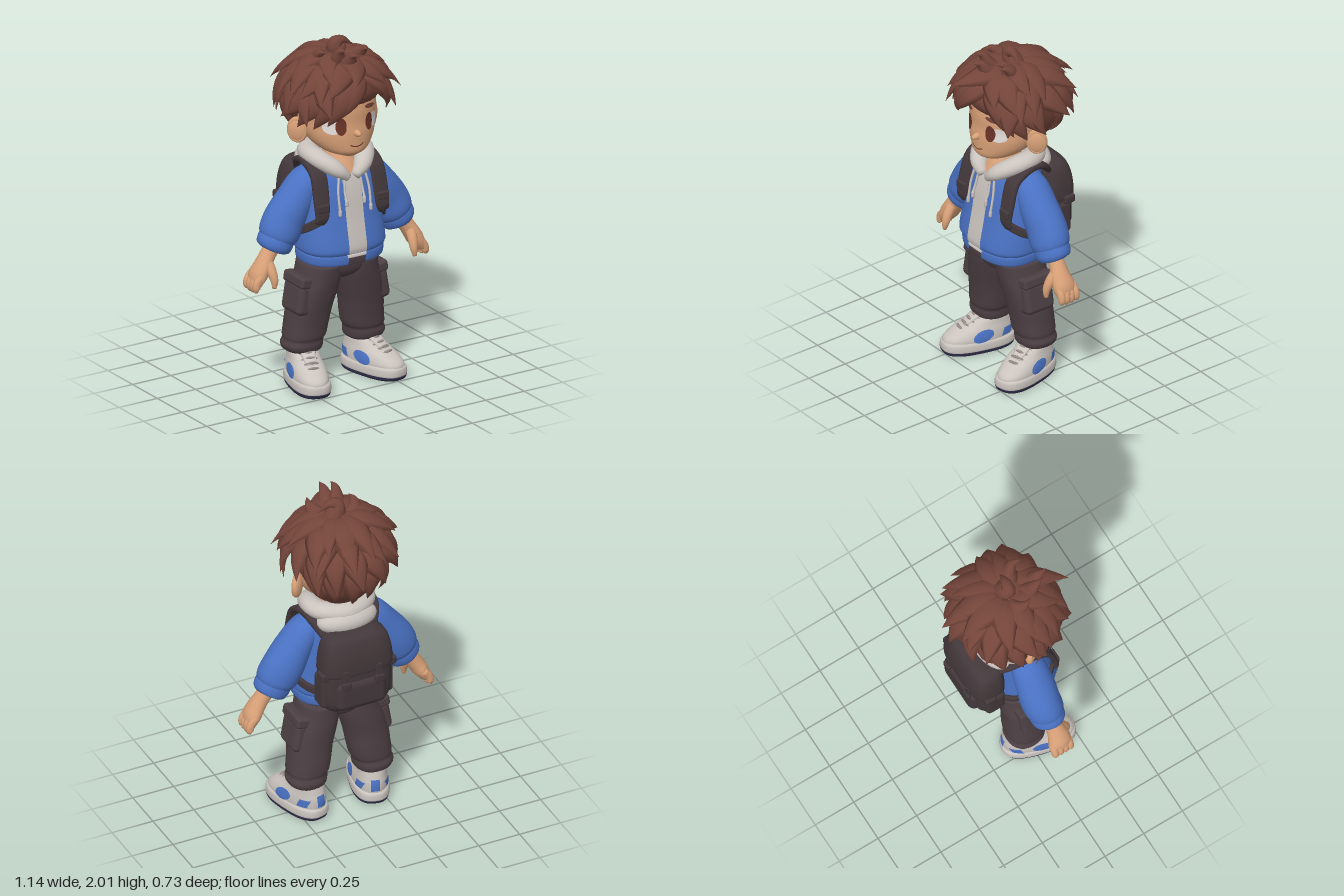
import * as THREE from 'three';
import { RoundedBoxGeometry } from 'three/addons/geometries/RoundedBoxGeometry.js';

const V = (x, y, z) => new THREE.Vector3(x, y, z);
const mat = (name, color) => Object.assign(new THREE.MeshStandardMaterial({ color }), { name });
const hair = mat('hair brown', 0x74453a), skin = mat('skin', 0xd9a178), blue = mat('jacket blue', 0x4a72c4),
  cloth = mat('light grey', 0xcac3be), dark = mat('trouser brown', 0x4d4044), pack = mat('pack charcoal', 0x43383b),
  navy = mat('sole navy', 0x2f2d48), iris = mat('eye brown', 0x6a3327), white = mat('eye white', 0xe2dedb),
  lace = mat('lace grey', 0x968d8a);

const mesh = (name, geo, m) => Object.assign(new THREE.Mesh(geo, m), { name });
const flip = (rows, s) => rows.map(r => [r[0] * s, ...r.slice(1)]);

// Smooth skin over rows [x, y, z, halfA, halfB]; flat keeps the rings horizontal.
function loft(rows, { n = 28, p = 2, steps = 5, flat = true, ref = V(0, 0, 1) } = {}) {
  const path = new THREE.CatmullRomCurve3(rows.map(r => V(r[0], r[1], r[2])), false, 'catmullrom');
  const size = new THREE.CatmullRomCurve3(rows.map(r => V(r[3], r[4], 0)), false, 'catmullrom');
  const count = (rows.length - 1) * steps, pos = [], idx = [];
  const bend = v => Math.sign(v) * Math.abs(v) ** (2 / p);
  for (let i = -1; i <= count + 1; i++) {
    const t = Math.min(Math.max(i / count, 0), 1), c = path.getPoint(t), r = size.getPoint(t);
    const T = flat ? V(0, 1, 0) : path.getTangent(t);
    const B = ref.clone().addScaledVector(T, -ref.dot(T)).normalize(), A = T.clone().cross(B);
    const k = i < 0 || i > count ? 0 : 1;
    for (let j = 0; j < n; j++) {
      const a = j / n * Math.PI * 2;
      const q = c.clone().addScaledVector(A, k * Math.max(r.x, 0.0005) * bend(Math.cos(a)))
        .addScaledVector(B, k * Math.max(r.y, 0.0005) * bend(Math.sin(a)));
      pos.push(q.x, q.y, q.z);
    }
  }
  for (let i = 0; i < count + 2; i++) for (let j = 0; j < n; j++) {
    const a = i * n + j, b = i * n + (j + 1) % n;
    idx.push(a, a + n, b, b, a + n, b + n);
  }
  const g = new THREE.BufferGeometry();
  g.setAttribute('position', new THREE.Float32BufferAttribute(pos, 3));
  g.setIndex(idx);
  g.computeVertexNormals();
  return g;
}
const limb = (rows, o = {}) => loft(rows, { flat: false, n: 16, ...o });

// Lay a flat shape onto a target surface, seen from the angle a about y.
function drape(geo, target, off = 0.004, a = 0) {
  const nrm = V(Math.sin(a), 0, Math.cos(a)), right = V(Math.cos(a), 0, -Math.sin(a)), P = geo.attributes.position;
  for (let i = 0; i < P.count; i++) {
    const q = right.clone().multiplyScalar(P.getX(i)).setY(P.getY(i));
    const hit = new THREE.Raycaster(q.clone().addScaledVector(nrm, 2), nrm.clone().negate()).intersectObject(target)[0];
    q.addScaledVector(nrm, (hit ? hit.point.dot(nrm) : 0) + off);
    P.setXYZ(i, q.x, q.y, q.z);
  }
  geo.computeVertexNormals();
  return geo;
}
const disc = (x, y, rx, ry, rot = 0) => new THREE.RingGeometry(0.01, 1, 24, 4).scale(rx, ry, 1).rotateZ(rot).translate(x, y, 0);
const sheet = (x0, x1, y0, y1, lean = 0) => {
  const g = new THREE.PlaneGeometry(x1 - x0, y1 - y0, 8, 30), P = g.attributes.position;
  for (let i = 0; i < P.count; i++) P.setX(i, P.getX(i) + lean * P.getY(i));
  return g.translate((x0 + x1) / 2, (y0 + y1) / 2, 0);
};

export function createModel() {
  const model = new THREE.Group();
  const add = (name, geo, m, parent = model) => { const o = mesh(name, geo, m); parent.add(o); return o; };
  const box = (name, x, y, z, w, h, d, r, m, parent) => {
    const o = add(name, new RoundedBoxGeometry(w, h, d, 4, r), m, parent); o.position.set(x, y, z); return o;
  };
  const ball = (name, x, y, z, rx, ry, rz, m) => {
    const o = add(name, new THREE.SphereGeometry(1, 24, 16).scale(rx, ry, rz), m); o.position.set(x, y, z); return o;
  };

  // Head and face
  const head = add('head', loft([[0, 1.36, .12, .05, .06], [0, 1.39, .09, .125, .125], [0, 1.44, .05, .18, .17], [0, 1.5, .02, .21, .2],
    [0, 1.56, 0, .222, .213], [0, 1.64, -.01, .232, .222], [0, 1.74, -.02, .22, .21], [0, 1.84, -.03, .15, .15], [0, 1.88, -.03, .05, .05]], { n: 40 }), skin);
  ball('nose', 0, 1.505, .216, .019, .019, .04, skin);
  add('neck', loft([[0, 1.24, .04, .12, .12], [0, 1.3, .03, .1, .1], [0, 1.36, .02, .08, .08], [0, 1.43, .02, .08, .08]]), skin);
  add('mouth', drape(new THREE.RingGeometry(.066, .072, 20, 1, -Math.PI / 2 - .65, 1.3).translate(0, 1.497, 0), head), iris);
  for (const s of [1, -1]) {
    add('eyeWhite', drape(disc(s * .13, 1.55, .044, .042, -s * .2), head, .003), white);
    add('eyeIris', drape(disc(s * .09, 1.553, .029, .05), head, .006), iris);
    add('eyebrow', drape(disc(s * .1, 1.64, .042, .013, -s * .15), head, .006), hair);
    ball('ear', s * .243, 1.505, -.005, .06, .076, .028, skin).rotation.y = s * .8;
    const rim = add('earRim', new THREE.TorusGeometry(.047, .008, 8, 24).scale(1, 1.35, 1), skin);
    rim.position.set(s * .25, 1.505, .003); rim.rotation.y = s * .8;
  }

  // Hair: a cap under layers of pointed locks
  add('hairCap', loft([[0, 1.4, -.07, .1, .07], [0, 1.48, -.1, .17, .12], [0, 1.58, -.09, .235, .185], [0, 1.68, -.03, .262, .255],
    [0, 1.78, -.02, .25, .255], [0, 1.87, -.02, .18, .19], [0, 1.92, -.02, .07, .07]]), hair);
  let seed = 7;
  const rnd = () => (seed = (seed * 16807) % 2147483647) / 2147483647 - .5;
  const onHair = (az, el, r) => {
    const a = az * Math.PI / 180, e = el * Math.PI / 180;
    return V(.27 * r * Math.cos(e) * Math.sin(a), 1.68 + .245 * r * Math.sin(e), -.02 + .28 * r * Math.cos(e) * Math.cos(a));
  };
  // Blade from one place on the scalp to another: broad near the root, pointed and flared at the tip
  const lock = (az0, el0, az1, el1, w, flare = .12) => {
    const rows = [[0, .7], [.2, 1], [.4, .95], [.6, .72], [.8, .4], [1, 0]].map(([t, k]) => {
      const q = onHair(az0 + (az1 - az0) * t, el0 + (el1 - el0) * t, .91 + .13 * Math.sin(t * 2.4) + flare * t ** 2.6);
      return [q.x, q.y, q.z, w * k, w * .42 * k];
    });
    const ref = onHair((az0 + az1) / 2, (el0 + el1) / 2, 1).sub(V(0, 1.68, -.02)).normalize();
    add('hairLock', limb(rows, { n: 8, steps: 3, p: 1.5, ref }), hair);
  };
  // Each layer: locks, root and tip elevation, half width, least azimuth from the front, flare
  for (const [count, e0, e1, w, min, flare] of [[10, 80, 22, .076, 30, .24], [13, 60, 8, .078, 28, .32], [15, 36, -12, .074, 42, .3],
    [15, 12, -44, .064, 102, .18], [16, -10, -66, .053, 116, .04]])
    for (let i = 0; i < count; i++) {
      const az = (i + .5) / count * 360 - 180 + rnd() * 10;
      if (Math.abs(az) >= min) lock(az, e0 + rnd() * 8, az + 6 + rnd() * 30, e1 + rnd() * 14, w * (1 + rnd() * .25), flare + rnd() * .1);
    }
  // Fringe swept to both sides of the parting
  for (const [a0, e0, a1, e1, w, f] of [[6, 44, -24, -10, .07, .12], [-2, 42, -40, -22, .08, .14], [-14, 40, -56, -27, .08, .18], [-32, 34, -73, -24, .078, .26],
    [-50, 27, -92, -16, .07, .3], [20, 46, 42, -4, .06, .12], [24, 44, 56, -21, .075, .14], [38, 38, 70, -25, .08, .2], [56, 30, 88, -18, .072, .28]]) lock(a0, e0, a1, e1, w, f);
  // Upper sweep over the brow
  for (const [a0, e0, a1, e1, w, f] of [[12, 68, -13, 25, .085, .46], [-10, 62, -38, 13, .085, .3], [-40, 60, -66, 10, .08, .3],
    [20, 62, 36, 16, .075, .2], [35, 60, 60, 10, .085, .28]]) lock(a0, e0, a1, e1, w, f);
  add('hairTuft', limb([[.05, 1.86, -.02, .06, .06], [.015, 1.92, -.01, .058, .055], [.0, 1.965, .0, .042, .04], [.045, 1.978, .005, .022, .024], [.11, 1.935, .01, 0, 0]], { n: 10 }), hair);
  for (const [x, z, h] of [[-.05, .1, .03], [-.1, -.01, 0], [.1, .06, 0], [-.01, .15, .01]])
    add('hairTuftSmall', limb([[x * .6, 1.86, z * .6, .055, .045], [x, 1.9, z, .05, .04], [x * 1.2, 1.94 + h, z + .04, .026, .022], [x * 1.1, 1.955 + h, z + .09, 0, 0]], { n: 10 }), hair);

  // Jacket body with open front
  const jacket = add('jacketBody', loft([[0, .79, .04, .22, .17], [0, .805, .04, .25, .19], [0, .85, .04, .256, .194], [0, 1, .03, .245, .175],
    [0, 1.15, .02, .23, .16], [0, 1.25, .01, .205, .14], [0, 1.305, 0, .16, .1], [0, 1.335, 0, .08, .07]], { n: 48, p: 2.5 }), blue);
  const hem = add('jacketHem', loft([[0, .735, .04, .225, .168], [0, .745, .04, .242, .184], [0, .79, .04, .246, .187], [0, .805, .04, .235, .176]], { n: 48, p: 2.5 }), blue);
  add('shirtFront', drape(sheet(-.065, .055, .806, 1.25), jacket, .006), cloth);
  add('shirtHem', drape(sheet(-.065, .055, .785, .803), hem, .008), cloth);
  add('trouserFront', drape(sheet(-.06, .05, .742, .786), hem, .006), dark);
  for (const x of [-.07, .06]) add('jacketEdge', drape(sheet(x - .008, x + .008, .806, 1.25), jacket, .009), blue);

  // Hood and drawstrings
  const hoodSide = [[.022, 1.23, .165, .026, .024], [.085, 1.285, .14, .052, .045], [.15, 1.335, .05, .058, .05], [.135, 1.345, -.07, .06, .05]];
  add('hoodRim', limb([...hoodSide, [0, 1.335, -.135, .06, .06], ...flip(hoodSide, -1).reverse()], { n: 20, ref: V(0, 1, 0) }), cloth);
  ball('hoodBack', 0, 1.29, -.12, .18, .08, .1, cloth);

  for (const s of [1, -1]) {
    for (const [x0, x1, y] of [[.05, .058, 1.08], [.085, .1, 1.03]])
      add('drawstring', limb(flip([[x0, 1.25, .168, .007, .007], [x1, 1.16, .187, .007, .007], [x1, y + .04, .203, .007, .007], [x1, y + .03, .205, .01, .01], [x1, y, .207, .009, .009]], s), { n: 8 }), cloth);
    add('jacketPocket', drape(sheet(s * .145 - .055, s * .145 + .055, .83, .96, -s * .25), jacket, .008), blue);

    // Sleeve, cuff and hand
    add('sleeve', limb(flip([[.12, 1.25, 0, .045, .06], [.195, 1.2, 0, .085, .095], [.272, 1.09, 0, .106, .108], [.33, .995, -.005, .12, .11],
      [.368, .925, 0, .118, .108], [.385, .89, 0, .1, .095]], s), { n: 28 }), blue);
    add('cuff', limb(flip([[.375, .91, 0, .09, .085], [.383, .897, 0, .104, .098], [.41, .852, .005, .098, .093], [.418, .836, .005, .06, .06]], s), { n: 28 }), blue);
    add('hand', limb(flip([[.39, .89, .005, .05, .05], [.445, .82, .01, .045, .046], [.487, .755, .015, .046, .06], [.513, .71, .012, .045, .068], [.535, .665, .01, .03, .062]], s)), skin);
    for (let i = 0; i < 4; i++) {
      const z = -.04 + i * .032, tip = .622 + (i % 3 ? 0 : .014);
      add('finger', limb(flip([[.512, .72, z, .022, .021], [.543, .68, z, .024, .021], [.55, .645, z, .021, .02], [.542, tip, z, .011, .011]], s), { n: 10 }), skin);
    }
    add('thumb', limb(flip([[.465, .79, .03, .03, .03], [.46, .74, .068, .028, .028], [.455, .69, .09, .022, .022], [.458, .645, .095, .011, .011]], s), { n: 10 }), skin);

    // Backpack straps
    add('shoulderStrap', limb(flip([[.13, 1.23, -.15, .016, .042], [.165, 1.295, -.09, .018, .045], [.178, 1.312, .01, .018, .048], [.185, 1.26, .112, .018, .048],
      [.19, 1.14, .153, .016, .048], [.195, 1.04, .172, .015, .042], [.21, .995, .165, .012, .03]], s), { p: 4, ref: V(1, 0, 0) }), pack);
    add('lowerStrap', limb(flip([[.2, 1.01, .165, .012, .024], [.25, .96, .1, .012, .024], [.268, .92, .01, .012, .024], [.235, .885, -.09, .012, .024], [.17, .86, -.16, .012, .024]], s), { p: 4, ref: V(0, 1, 0) }), pack);
    box('strapBuckle', s * .195, 1.085, .178, .075, .045, .025, .008, pack);

    // Trouser leg and cargo pocket
    add('trouserLeg', loft(flip([[.198, .195, -.035, .08, .085], [.2, .212, -.03, .106, .105], [.202, .24, -.028, .115, .112], [.196, .27, -.025, .111, .108], [.19, .295, -.022, .119, .114],
      [.18, .36, -.018, .122, .117], [.168, .45, -.008, .125, .122], [.143, .56, .002, .127, .135], [.122, .64, .01, .12, .142], [.112, .72, .015, .112, .148]], s), { p: 2.3 }), dark);
    const pocket = new THREE.Group();
    pocket.name = 'cargoPocket';
    pocket.position.set(s * .24, .55, .005);
    pocket.rotation.z = s * .17;
    model.add(pocket);
    box('pocketBag', 0, -.025, 0, .1, .18, .19, .03, dark, pocket);
    box('pocketFlap', s * .004, .075, 0, .106, .065, .2, .018, dark, pocket);

    // Shoe
    const shoe = new THREE.Group();
    shoe.name = 'shoe';
    const upper = add('shoeUpper', loft([[0, .05, .055, .096, .202], [0, .09, .053, .1, .203], [0, .13, .028, .095, .177], [0, .165, -.002, .086, .138],
      [0, .2, -.025, .08, .105], [0, .225, -.038, .07, .085]], { n: 40, p: 2.3 }), cloth, shoe);
    add('outsole', loft([[0, 0, .055, .085, .18], [0, .008, .056, .102, .205], [0, .028, .057, .106, .213]], { n: 40, p: 2.6 }), navy, shoe);
    add('midsole', loft([[0, .022, .055, .1, .206], [0, .032, .055, .108, .214], [0, .066, .055, .106, .212], [0, .08, .055, .098, .2]], { n: 40, p: 2.6 }), cloth, shoe);
    for (const d of [1, -1]) {
      add('sidePanel', drape(disc(-d * .058, .112, .062, .034, d * .25), upper, .005, d * Math.PI / 2), blue, shoe);
      add('heelPanel', drape(sheet(d * .09 - .03, d * .09 + .03, .088, .135, d * .4), upper, .005, d * Math.PI / 2), blue, shoe);
    }
    add('heelTab', drape(sheet(-.025, .025, .09, .16), upper, .005, Math.PI), blue, shoe);
    add('tongue', limb([[0, .155, .14, .03, .012], [0, .19, .085, .04, .016], [0, .225, .04, .042, .014]], { ref: V(0, 1, 0), p: 3 }), cloth, shoe);
    for (let i = 0; i < 4; i++) {
      const y = .212 - i * .02, z = .07 + i * .03;
      add('lace', limb([[-.062, y - .026, z - .018, .007, .007], [0, y, z + .008, .009, .008], [.062, y - .026, z - .018, .007, .007]], { n: 8 }), lace, shoe);
    }
    shoe.position.set(s * .203, 0, 0);
    shoe.rotation.y = s * .25;
    model.add(shoe);
  }

  // Trouser seat
  add('trouserSeat', loft([[0, .615, .01, .03, .08], [0, .65, .012, .12, .13], [0, .7, .015, .2, .148], [0, .79, .02, .21, .148]], { p: 2.3 }), dark);

  // Backpack
  add('packBody', loft([[0, .782, -.21, .12, .05], [0, .8, -.212, .175, .08], [0, .86, -.215, .203, .097], [0, 1.02, -.215, .206, .102], [0, 1.16, -.212, .196, .096],
    [0, 1.24, -.205, .165, .078], [0, 1.262, -.2, .12, .05]], { n: 40, p: 3.4 }), pack);
  add('packFlap', loft([[0, 1.035, -.222, .195, .092], [0, 1.045, -.222, .213, .108], [0, 1.15, -.22, .205, .104], [0, 1.235, -.212, .178, .084],
    [0, 1.268, -.205, .12, .05]], { n: 40, p: 3.4 }), pack);
  box('packPocket', 0, .905, -.285, .31, .19, .1, .045, pack);
  add('packHandle', new THREE.TorusGeometry(.045, .011, 8, 20, Math.PI).translate(0, 1.245, -.17), pack);
  for (const s of [1, -1]) {
    box('packSidePocket', s * .19, .92, -.21, .06, .2, .12, .028, pack);
    box('packSideBuckle', s * .205, 1.035, -.25, .05, .05, .07, .012, pack);
    box('packClosureStrap', s * .1, 1.02, -.322, .04, .12, .02, .008, pack);
    box('packClosureBuckle', s * .1, .985, -.332, .055, .045, .025, .008, pack);
  }
  return model;
}
